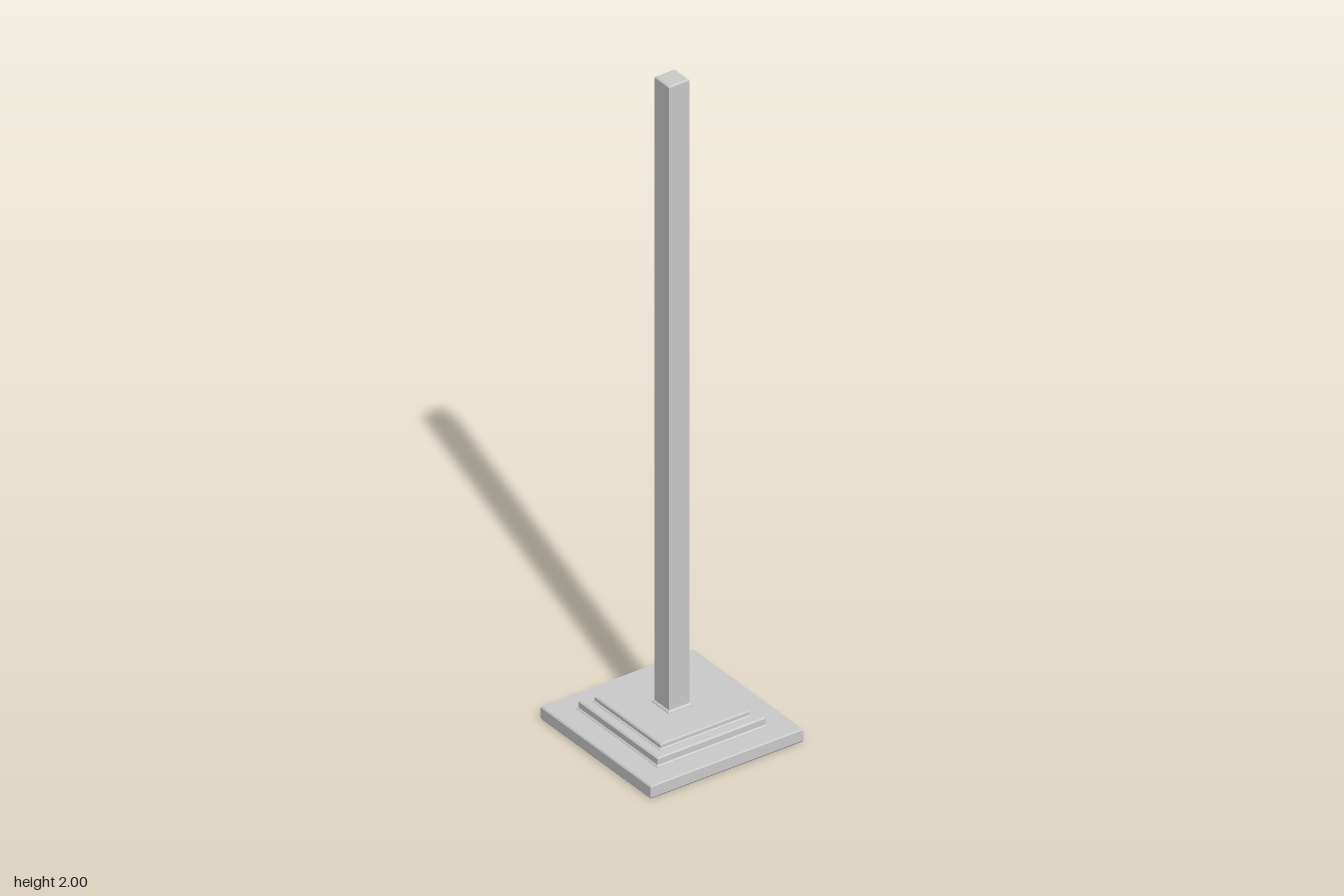
import * as THREE from 'three';

const material = new THREE.MeshStandardMaterial({ color: 0xcccccc, flatShading: true });

// Square block swept from a profile of [half width, height] pairs, bottom to top
function squareBlock(name, profile, depthRatio = 1) {
  const closed = [[0, profile[0][1]], ...profile, [0, profile[profile.length - 1][1]]];
  const points = closed.map(([half, y]) => new THREE.Vector2(half * Math.SQRT2, y));
  const geometry = new THREE.LatheGeometry(points, 4)
    .rotateY(Math.PI / 4)
    .scale(1, 1, depthRatio)
    .toNonIndexed();
  geometry.computeVertexNormals();
  const mesh = new THREE.Mesh(geometry, material);
  mesh.name = name;
  return mesh;
}

export function createModel() {
  const group = new THREE.Group();
  group.name = 'squarePost';

  // Wide ground slab with softened edges
  group.add(squareBlock('baseSlab', [
    [0.243, 0], [0.246, 0.004], [0.246, 0.036], [0.243, 0.04],
  ]));

  // Two stepped plinths, each with a small flare at the foot and a chamfered top
  group.add(squareBlock('lowerStep', [
    [0.181, 0.039], [0.181, 0.041], [0.177, 0.045], [0.177, 0.062], [0.173, 0.066],
  ], 0.98));
  group.add(squareBlock('upperStep', [
    [0.151, 0.065], [0.151, 0.067], [0.147, 0.07], [0.147, 0.079], [0.144, 0.083],
  ], 0.97));

  // Tall post with a flared foot and chamfered top
  group.add(squareBlock('post', [
    [0.038, 0.082], [0.038, 0.085], [0.033, 0.09], [0.033, 1.996], [0.029, 2],
  ]));

  return group;
}
